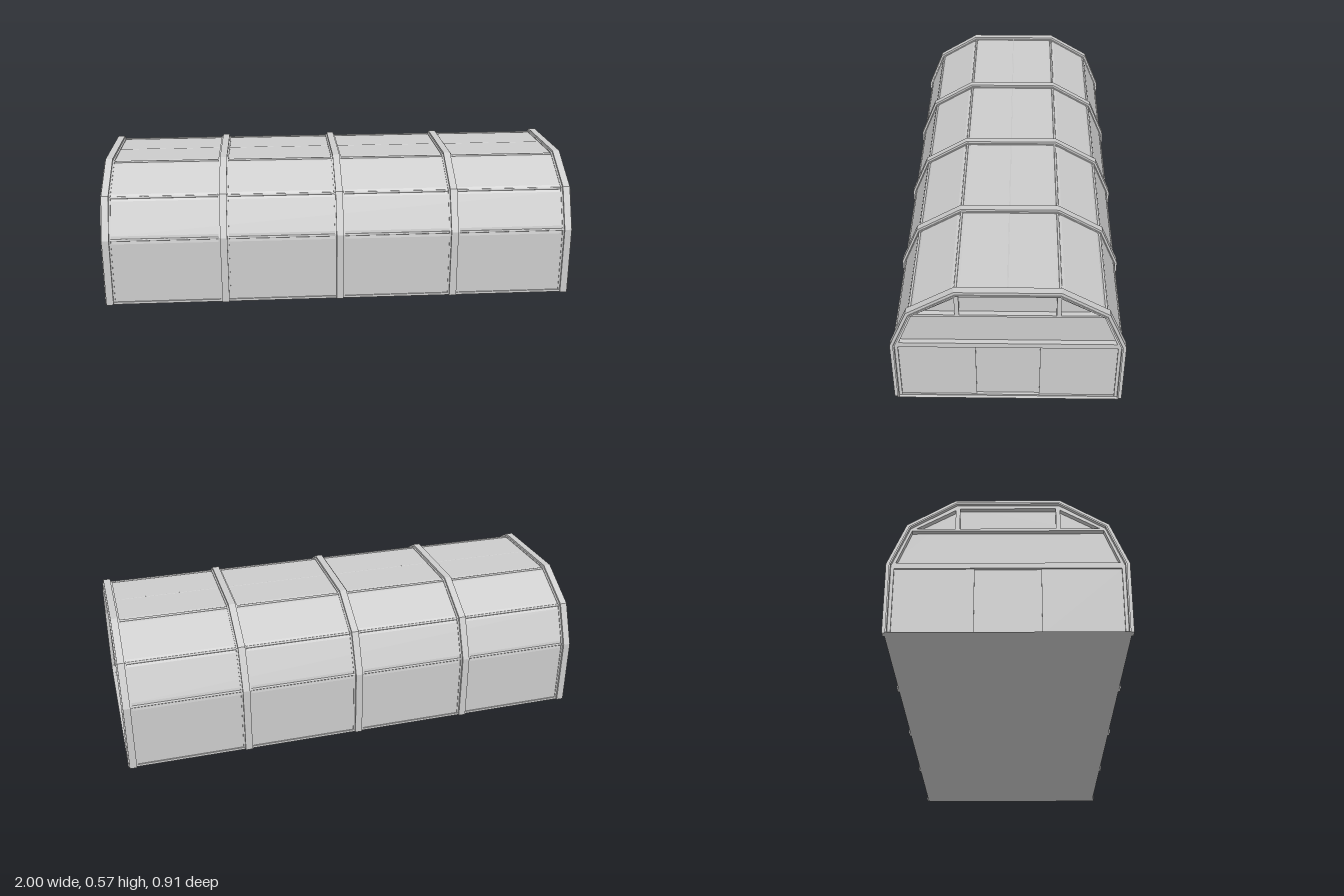
import * as THREE from 'three';

// Right half of the arch outline, (z, y), from the ground to the roof
const ARCH = [[0.455, 0], [0.455, 0.29], [0.384, 0.462], [0.2, 0.572]].map(p => new THREE.Vector2(...p));
const NORMALS = ARCH.map((p, i) => {
  const d = (ARCH[i + 1] || new THREE.Vector2(-0.2, 0.572)).clone().sub(p).normalize();
  return new THREE.Vector2(d.y, -d.x);
});

// Closed arch outline moved inwards by inset, with bends cut back by chamfer
function archPoints(inset, chamfer = 0) {
  const half = ARCH.map((p, i) => {
    if (i === 0) return new THREE.Vector2(p.x - inset, 0);
    const a = NORMALS[i - 1], b = NORMALS[i];
    return p.clone().addScaledVector(a.clone().add(b), -inset / (1 + a.dot(b)));
  });
  const out = [];
  half.forEach((p, i) => {
    if (i === 0 || !chamfer) { out.push(p); return; }
    const next = half[i + 1] || new THREE.Vector2(-p.x, p.y);
    for (const q of [half[i - 1], next]) {
      out.push(p.clone().addScaledVector(q.clone().sub(p).normalize(), chamfer));
    }
  });
  const mirrored = out.map(p => new THREE.Vector2(-p.x, p.y)).reverse();
  return [...out, ...mirrored];
}

// Extrude a (z, y) outline along x between x0 and x1
function extrudeX(points, holes, x0, x1) {
  const shape = new THREE.Shape(points);
  holes.forEach(h => shape.holes.push(new THREE.Path(h)));
  const g = new THREE.ExtrudeGeometry(shape, { depth: x1 - x0, bevelEnabled: false });
  return g.rotateY(Math.PI / 2).translate(x0, 0, 0);
}

const poly = (...pts) => pts.map(p => new THREE.Vector2(...p));

export function createModel() {
  const model = new THREE.Group();
  model.name = 'archedHall';
  const grey = new THREE.MeshStandardMaterial({ color: 0xcccccc });
  grey.name = 'lightGrey';
  const add = (name, geometry, parent = model) => {
    const m = new THREE.Mesh(geometry, grey);
    m.name = name;
    parent.add(m);
    return m;
  };
  const box = (name, w, h, d, x, y, z, parent) =>
    add(name, new THREE.BoxGeometry(w, h, d).translate(x, y, z), parent);

  // Main cladding with narrow flats along each bend
  add('cladding', extrudeX(archPoints(0.012, 0.017), [], -0.965, 0.965));

  // Five ribs hugging the cladding
  for (let i = -2; i <= 2; i++) {
    const x = i * 0.49;
    add('rib', extrudeX(archPoints(0), [archPoints(0.018)], x - 0.015, x + 0.015));
  }

  // Ridge and bend purlins, just proud of the cladding
  const bends = archPoints(0.0155).filter(p => p.y > 0.1);
  [...bends, new THREE.Vector2(0, 0.556)].forEach(p => {
    add('purlin', new THREE.CylinderGeometry(0.005, 0.005, 1.97, 8)
      .rotateZ(Math.PI / 2).translate(0, p.y, p.x));
  });

  // Base rails and slim trims beside the ribs, in each of the four bays
  for (const s of [-1, 1]) {
    for (let b = 0; b < 4; b++) {
      const x = -0.735 + b * 0.49;
      box('baseRail', 0.47, 0.01, 0.008, x, 0.005, s * 0.444);
      for (const e of [-1, 1]) {
        add('bayTrim', extrudeX(archPoints(0.009), [archPoints(0.016)],
          x + e * 0.227 - 0.004, x + e * 0.227 + 0.004));
      }
    }
  }

  // Gable wall frame with openings for panels, windows and doors
  const lower = poly([-0.425, 0.003], [0.425, 0.003], [0.425, 0.275], [-0.425, 0.275]);
  const middle = poly([-0.42, 0.298], [0.42, 0.298], [0.364, 0.44], [-0.364, 0.44]);
  const windowHole = poly([-0.183, 0.45], [0.183, 0.45], [0.183, 0.541], [-0.183, 0.541]);
  const sideHole = s => poly([s * 0.2, 0.45], [s * 0.348, 0.45], [s * 0.2, 0.534]);
  const openings = [lower, middle, windowHole, sideHole(1), sideHole(-1)];

  for (const s of [1, -1]) {
    const gable = new THREE.Group();
    gable.name = s > 0 ? 'leftGable' : 'rightGable';
    add('gableFrame', extrudeX(archPoints(0.018), openings, 0.965, 0.986), gable);
    add('edgeLip', extrudeX(archPoints(0.012), [archPoints(0.018)], 0.965, 1), gable);

    // Wall panels either side of a recessed door with a low sill
    for (const e of [-1, 1]) box('wallPanel', 0.014, 0.272, 0.3, 0.972, 0.139, e * 0.275, gable);
    box('door', 0.01, 0.268, 0.25, 0.969, 0.141, 0, gable);
    box('doorSill', 0.02, 0.007, 0.25, 0.976, 0.0035, 0, gable);
    gable.rotation.y = s > 0 ? 0 : Math.PI;
    model.add(gable);
  }
  return model;
}
